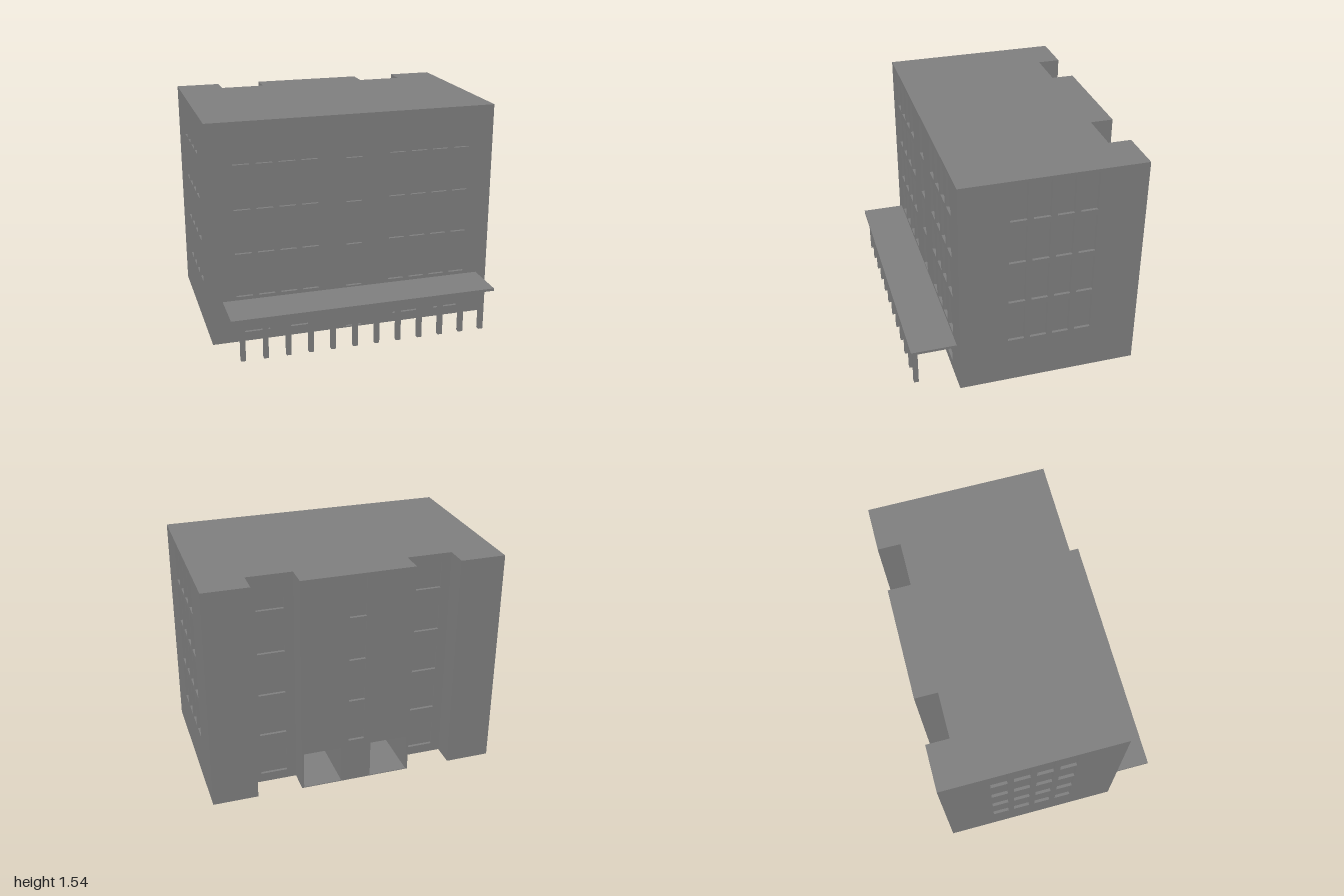
import * as THREE from 'three';
import { mergeGeometries } from 'three/addons/utils/BufferGeometryUtils.js';

const H = 1.54;                                  // building height
const FRONT = 0.462, BACK = -0.77, INSET = -0.615;
const REVEAL = 0.02;                             // depth of window recesses

// open-fronted box sunk behind the wall face
function recess({ x, y0, y1, w, depth = REVEAL }) {
  const g = new THREE.BoxGeometry(w, y1 - y0, depth);
  const idx = Array.from(g.index.array);
  idx.splice(24, 6);                             // drop the +z face
  g.setIndex(idx);
  g.clearGroups();
  return g.translate(x, (y0 + y1) / 2, -depth / 2);
}

// flat wall facing local +z, with openings cut out and recessed
function wall(name, width, openings, x, z, turn, material) {
  const shape = new THREE.Shape();
  shape.moveTo(-width / 2, 0).lineTo(width / 2, 0).lineTo(width / 2, H).lineTo(-width / 2, H).closePath();
  for (const o of openings) {
    const a = o.x - o.w / 2, b = o.x + o.w / 2;
    const hole = new THREE.Path();
    hole.moveTo(a, o.y0).lineTo(a, o.y1).lineTo(b, o.y1).lineTo(b, o.y0).closePath();
    shape.holes.push(hole);
  }
  const geometry = mergeGeometries([new THREE.ShapeGeometry(shape), ...openings.map(recess)]);
  const mesh = new THREE.Mesh(geometry, material);
  mesh.name = name;
  mesh.position.set(x, 0, z);
  mesh.rotation.y = turn;
  return mesh;
}

// grid of equal openings: columns by centre, rows by top edge
function grid(columns, tops, w, h) {
  return columns.flatMap(x => tops.map(y1 => ({ x, y0: y1 - h, y1, w })));
}

export function createModel() {
  const model = new THREE.Group();
  model.name = 'apartmentBlock';
  const grey = new THREE.MeshStandardMaterial({ color: 0x808080 });
  grey.name = 'concreteGrey';
  grey.side = THREE.DoubleSide;                  // thin shell, open underneath

  const floors = [1.518, 1.21, 0.903, 0.596];
  const centre = grid([0], floors, 0.113, 0.276);

  // front wall: tall windows, middle column, door and shop windows
  const cols = [0.308, 0.462, 0.616, 0.77];
  model.add(wall('frontWall', 2, [
    ...grid([...cols, ...cols.map(c => -c)], floors, 0.113, 0.264),
    ...centre,
    { x: 0, y0: 0.008, y1: 0.287, w: 0.113 },
    ...grid([-0.693, -0.385, 0.385, 0.693], [0.245], 0.184, 0.18),
  ], 0, FRONT, 0, grey));

  // side walls
  const sideWindows = grid([-0.231, -0.077, 0.077, 0.231], floors, 0.113, 0.264);
  const depth = FRONT - BACK, midZ = (FRONT + BACK) / 2;
  for (const s of [1, -1]) {
    const side = s > 0 ? 'left' : 'right';
    model.add(wall(side + 'Wall', depth, sideWindows, s, midZ, s * Math.PI / 2, grey));

    // rear end block, inset bay and the bay's two cheeks
    model.add(wall(side + 'RearBlock', 0.308, [], s * 0.846, BACK, Math.PI, grey));
    model.add(wall(side + 'RearBay', 0.308, grid([0], [1.477, 1.169, 0.861, 0.553, 0.245], 0.184, 0.18),
      s * 0.538, INSET, Math.PI, grey));
    const cheek = INSET - BACK, cheekZ = (INSET + BACK) / 2;
    model.add(wall(side + 'OuterCheek', cheek, [], s * 0.692, cheekZ, -s * Math.PI / 2, grey));
    model.add(wall(side + 'InnerCheek', cheek, [], s * 0.384, cheekZ, s * Math.PI / 2, grey));
  }

  // rear centre block with two deep garage openings
  const garages = [-0.237, 0.237].map(x => ({ x, y0: 0.005, y1: 0.272, w: 0.266, depth: 0.49 }));
  model.add(wall('rearCentreBlock', 0.768, [...centre, ...garages], 0, BACK, Math.PI, grey));

  // flat roof with the two rear notches (shape y becomes -z)
  const half = [[0.384, BACK], [0.384, INSET], [0.692, INSET], [0.692, BACK], [1, BACK], [1, FRONT]];
  const outline = [...half, ...half.map(([x, z]) => [-x, z]).reverse()];
  const roofShape = new THREE.Shape(outline.map(([x, z]) => new THREE.Vector2(x, -z)));
  const roof = new THREE.Mesh(new THREE.ShapeGeometry(roofShape).rotateX(-Math.PI / 2), grey);
  roof.name = 'roof';
  roof.position.y = H;
  model.add(roof);

  // canopy slab on a row of square posts
  const canopy = new THREE.Mesh(new THREE.BoxGeometry(1.846, 0.018, 0.77 - FRONT), grey);
  canopy.name = 'canopy';
  canopy.position.set(0, 0.299, (0.77 + FRONT) / 2);
  model.add(canopy);

  const postGeometry = new THREE.BoxGeometry(0.032, 0.29, 0.032);
  for (let i = 0; i < 12; i++) {
    const post = new THREE.Mesh(postGeometry, grey);
    post.name = 'canopyPost' + (i + 1);
    post.position.set(-0.846 + i * 0.1538, 0.145, 0.732);
    model.add(post);
  }
  return model;
}
